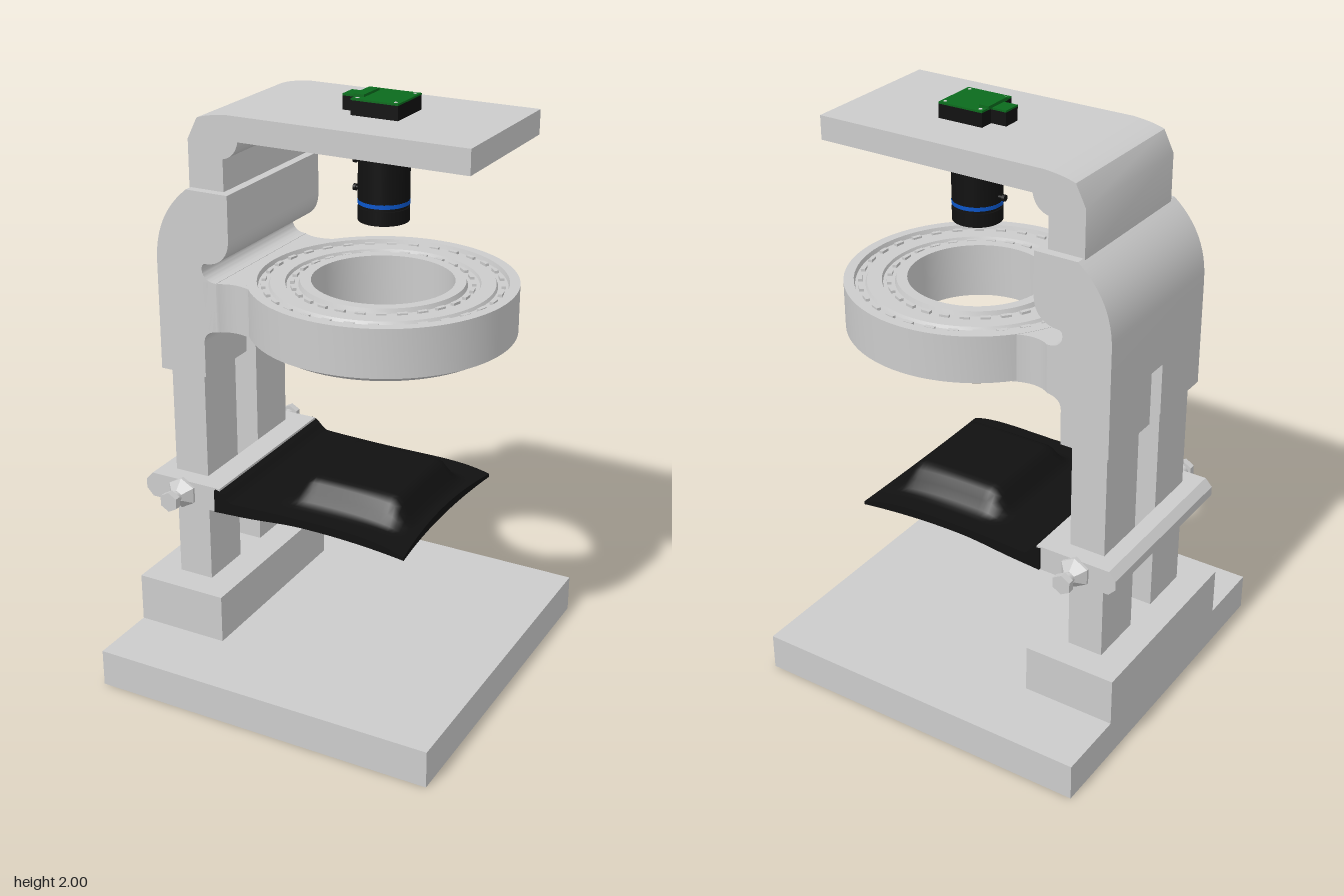
import * as THREE from 'three';
import { toCreasedNormals } from 'three/addons/utils/BufferGeometryUtils.js';

const grey = new THREE.MeshStandardMaterial({ color: 0xcccccc });
const black = new THREE.MeshStandardMaterial({ color: 0x111111 });
const green = new THREE.MeshStandardMaterial({ color: 0x0b6b1d });
const blue = new THREE.MeshStandardMaterial({ color: 0x0a55c8 });

export function createModel() {
  const model = new THREE.Group();

  const add = (name, geometry, material = grey, parent = model) => {
    const mesh = new THREE.Mesh(geometry, material);
    mesh.name = name;
    parent.add(mesh);
    return mesh;
  };
  // Box given by its lower and upper limits on each axis
  const box = (name, x0, x1, y0, y1, z0, z1, material) => {
    const mesh = add(name, new THREE.BoxGeometry(x1 - x0, y1 - y0, z1 - z0), material);
    mesh.position.set((x0 + x1) / 2, (y0 + y1) / 2, (z0 + z1) / 2);
    return mesh;
  };
  // Side profile (x, y) extruded along z
  const slab = (name, shape, z0, z1) => {
    const g = new THREE.ExtrudeGeometry(shape, { depth: z1 - z0, bevelEnabled: false, curveSegments: 12 });
    g.translate(0, 0, z0);
    return add(name, toCreasedNormals(g, 0.6));
  };
  const cylinder = (name, rTop, rBottom, y0, y1, material, sides = 40) => {
    const mesh = add(name, new THREE.CylinderGeometry(rTop, rBottom, y1 - y0, sides), material);
    mesh.position.set(0.135, (y0 + y1) / 2, 0);
    return mesh;
  };

  // Base and twin posts
  box('base', -0.61, 0.605, 0, 0.13, -0.605, 0.605);
  box('postBlock', -0.61, -0.285, 0.13, 0.3, -0.36, 0.36);
  box('leftPost', -0.51, -0.385, 0.3, 1.1, 0.07, 0.26);
  box('rightPost', -0.51, -0.385, 0.3, 1.1, -0.26, -0.065);

  // Housing: two legs joined under a curved body
  box('housingLegLeft', -0.53, -0.36, 1.07, 1.25, 0.035, 0.29);
  box('housingLegRight', -0.53, -0.36, 1.07, 1.25, -0.29, -0.035);
  const body = new THREE.Shape();
  body.moveTo(-0.53, 1.25);
  body.lineTo(-0.53, 1.44);
  body.bezierCurveTo(-0.53, 1.55, -0.49, 1.63, -0.41, 1.695);
  body.lineTo(-0.26, 1.695);
  body.lineTo(-0.26, 1.55);
  body.bezierCurveTo(-0.26, 1.49, -0.3, 1.46, -0.35, 1.46);
  body.quadraticCurveTo(-0.365, 1.455, -0.36, 1.43);
  body.quadraticCurveTo(-0.35, 1.4, -0.31, 1.4);
  body.lineTo(-0.31, 1.235);
  body.quadraticCurveTo(-0.36, 1.23, -0.36, 1.19);
  body.lineTo(-0.36, 1.25);
  slab('housingBody', body, -0.29, 0.29);

  // Neck flaring from the housing to the ring
  const neck = new THREE.Shape();
  neck.moveTo(-0.36, -0.29);
  neck.lineTo(-0.31, -0.29);
  neck.quadraticCurveTo(-0.25, -0.25, -0.17, -0.295);
  neck.quadraticCurveTo(-0.4, 0, -0.17, 0.295);
  neck.quadraticCurveTo(-0.25, 0.25, -0.31, 0.29);
  neck.lineTo(-0.36, 0.29);
  const neckGeometry = new THREE.ExtrudeGeometry(neck, { depth: 0.163, bevelEnabled: false, curveSegments: 16 });
  neckGeometry.rotateX(Math.PI / 2);
  neckGeometry.translate(0, 1.399, 0);
  add('neck', toCreasedNormals(neckGeometry, 0.6));

  // Light ring with two top grooves and a recessed underside
  const ringProfile = [
    [0.34, 1.205], [0.385, 1.212], [0.41, 1.237], [0.435, 1.24], [0.435, 1.4],
    [0.402, 1.4], [0.398, 1.385], [0.365, 1.385], [0.36, 1.395], [0.312, 1.395],
    [0.308, 1.385], [0.27, 1.385], [0.265, 1.4], [0.23, 1.4], [0.23, 1.215],
    [0.26, 1.215], [0.27, 1.26], [0.33, 1.25], [0.34, 1.205],
  ].map(([r, y]) => new THREE.Vector2(r, y));
  const ring = add('lightRing', toCreasedNormals(new THREE.LatheGeometry(ringProfile, 80), 0.4));
  ring.position.x = 0.135;
  for (const [radius, count] of [[0.382, 32], [0.289, 28]]) {
    for (let i = 0; i < count; i++) {
      const a = (i / count) * Math.PI * 2;
      const tab = add('ringTab', new THREE.BoxGeometry(0.014, 0.012, 0.032));
      tab.position.set(0.135 + radius * Math.cos(a), 1.388, radius * Math.sin(a));
      tab.rotation.y = -a;
    }
  }

  // Overhead arm
  const arm = new THREE.Shape();
  arm.moveTo(-0.415, 1.69);
  arm.lineTo(-0.415, 1.85);
  arm.lineTo(-0.38, 1.92);
  arm.quadraticCurveTo(-0.34, 1.935, -0.27, 1.94);
  arm.lineTo(0.54, 1.94);
  arm.lineTo(0.54, 1.86);
  arm.lineTo(-0.235, 1.86);
  arm.quadraticCurveTo(-0.245, 1.81, -0.29, 1.8);
  arm.lineTo(-0.29, 1.69);
  slab('arm', arm, -0.26, 0.26);

  // Clamp frame around the posts
  const rear = new THREE.Shape([
    [-0.51, 0.605], [-0.51, 0.692], [-0.565, 0.692], [-0.59, 0.665], [-0.59, 0.632], [-0.565, 0.605],
  ].map(([x, y]) => new THREE.Vector2(x, y)));
  slab('clampRearBar', rear, -0.325, 0.325);
  box('clampFrontBar', -0.385, -0.3, 0.605, 0.692, -0.325, 0.325);
  for (const s of [1, -1]) {
    const cheek = box('clampCheek', -0.52, -0.38, 0.605, 0.692, -0.0325, 0.0325);
    cheek.position.z = s * 0.2925;
    const bolt = new THREE.Group();
    bolt.name = 'clampBolt';
    bolt.position.set(-0.445, 0.648, s * 0.32);
    bolt.rotation.x = s * Math.PI / 2;
    model.add(bolt);
    for (const [name, top, bottom, y0, y1, sides] of [
      ['boltCollar', 0.054, 0.054, 0, 0.014, 6], ['boltCone', 0.022, 0.054, 0.014, 0.045, 6],
      ['boltShaft', 0.02, 0.02, 0.045, 0.07, 16], ['boltHead', 0.035, 0.035, 0.07, 0.093, 6],
    ]) {
      const g = new THREE.CylinderGeometry(top, bottom, y1 - y0, sides);
      add(name, sides === 6 ? toCreasedNormals(g, 0.5) : g, grey, bolt).position.y = (y0 + y1) / 2;
    }
  }

  // Draped tray: raised middle, lip at the back, drooping front corners
  const step = THREE.MathUtils.smoothstep;
  const tray = new THREE.BoxGeometry(0.7, 1, 0.67, 36, 1, 32);
  const p = tray.attributes.position;
  for (let i = 0; i < p.count; i++) {
    const u = p.getX(i) / 0.35, v = p.getZ(i) / 0.335;
    const x = 0.035 + 0.35 * u * (u > 0 ? 0.94 + 0.06 * v * v : 1);
    const z = 0.335 * v * (0.95 + 0.05 * u * u);
    const dome = step(x, -0.11, -0.03) * (1 - step(x, 0.27, 0.34)) * (1 - step(Math.abs(z), 0.16, 0.24));
    const lip = 1 - step(x, -0.31, -0.25);
    const droop = Math.max(u, 0) ** 4 * (0.4 + 0.6 * v * v);
    const arch = 0.012 * (1 - u * u) * step(x, -0.25, 0);
    const top = 0.65 + 0.08 * dome + 0.038 * lip - 0.03 * droop;
    p.setXYZ(i, x, p.getY(i) > 0 ? top : 0.609 + arch, z);
  }
  tray.computeVertexNormals();
  add('tray', tray, [black, black, black, grey, black, black]);

  // Lens barrel with focus ring and lock screws
  cylinder('lensTip', 0.082, 0.082, 1.6, 1.645, black);
  cylinder('lensGroove', 0.077, 0.077, 1.645, 1.655, black);
  cylinder('lensBlueBand', 0.083, 0.083, 1.655, 1.668, blue);
  cylinder('lensBarrel', 0.082, 0.082, 1.668, 1.81, black);
  cylinder('lensCollar', 0.073, 0.073, 1.81, 1.845, black);
  box('lensFlange', 0.005, 0.22, 1.845, 1.86, -0.08, 0.08, black);
  for (const y of [1.69, 1.78]) {
    for (const [r, length, x] of [[0.006, 0.03, 0.045], [0.011, 0.01, 0.034]]) {
      const screw = add('lockScrew', new THREE.CylinderGeometry(r, r, length, 12), black);
      screw.rotation.z = Math.PI / 2;
      screw.position.set(x, y, 0);
    }
  }

  // Camera board on top of the arm
  box('cameraCase', 0.06, 0.22, 1.94, 1.986, -0.081, 0.081, black);
  box('cameraPlug', 0.005, 0.06, 1.94, 1.984, -0.032, 0.032, black);
  box('circuitBoard', 0.06, 0.22, 1.986, 1.992, -0.081, 0.081, green);
  box('plugTop', 0.005, 0.06, 1.984, 1.99, -0.032, 0.032, green);
  box('boardConnector', 0.055, 0.09, 1.988, 2, -0.052, 0.052, green);
  for (const x of [0.075, 0.205]) {
    for (const z of [-0.066, 0.066]) {
      const hole = cylinder('boardHole', 0.006, 0.006, 1.99, 1.993, grey, 12);
      hole.position.x = x;
      hole.position.z = z;
    }
  }
  return model;
}
